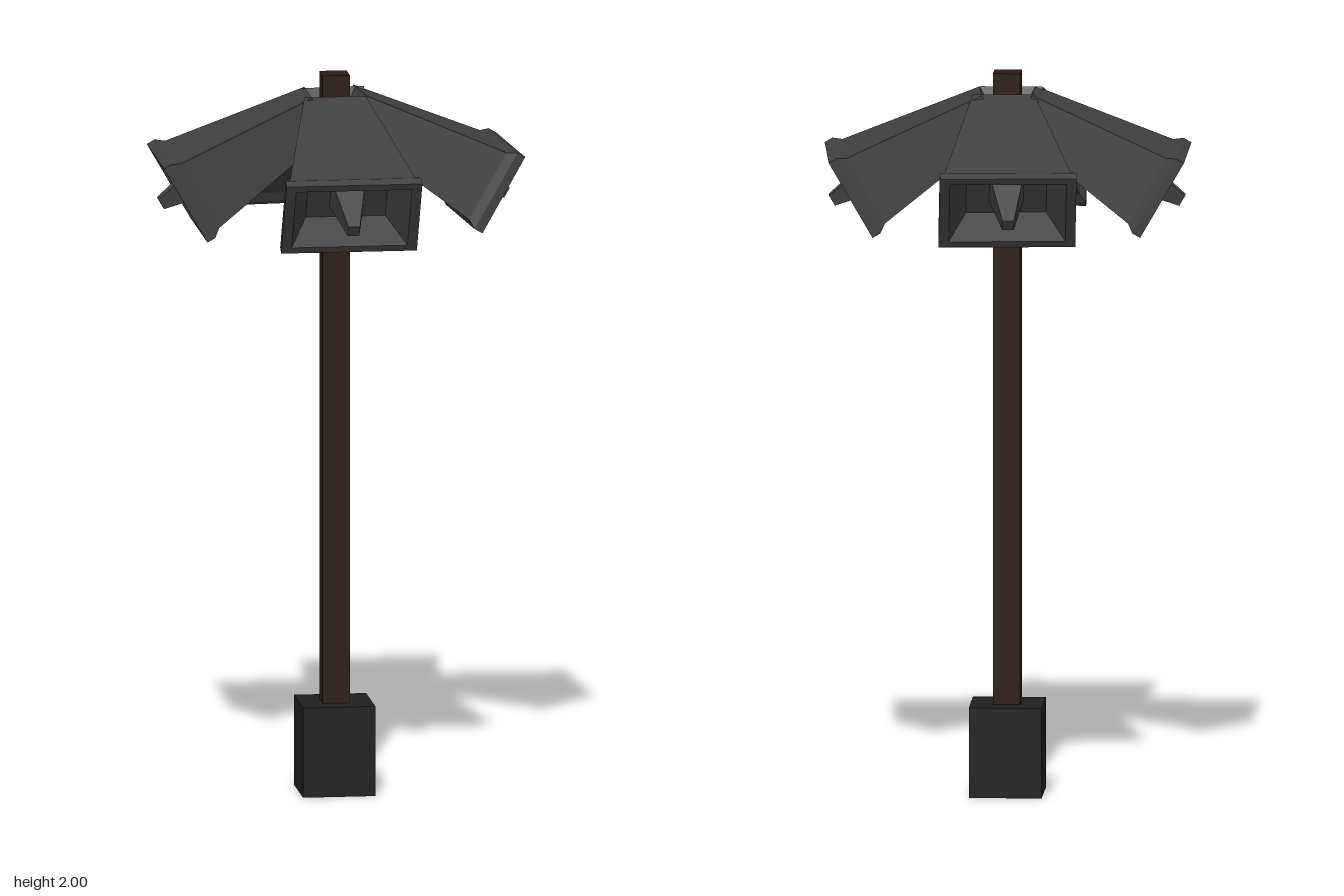
import * as THREE from 'three';

const rad = THREE.MathUtils.degToRad;
const material = (color) => new THREE.MeshStandardMaterial({ color, flatShading: true });

// Skin over rectangular sections [z, halfWidth, halfHeight], capped at both ends.
function rectLoft(sections) {
  const rings = sections.map(([z, w, h]) => [[-w, -h, z], [w, -h, z], [w, h, z], [-w, h, z]]);
  const positions = [];
  const quad = (a, b, c, d) => positions.push(...a, ...b, ...c, ...a, ...c, ...d);
  for (let i = 0; i < rings.length - 1; i++) {
    for (let k = 0; k < 4; k++) {
      const n = (k + 1) % 4;
      quad(rings[i][k], rings[i][n], rings[i + 1][n], rings[i + 1][k]);
    }
  }
  const first = rings[0], last = rings[rings.length - 1];
  quad(first[3], first[2], first[1], first[0]);
  quad(last[0], last[1], last[2], last[3]);
  const geometry = new THREE.BufferGeometry();
  geometry.setAttribute('position', new THREE.Float32BufferAttribute(positions, 3));
  geometry.computeVertexNormals();
  return geometry;
}

export function createModel() {
  const model = new THREE.Group();
  model.name = 'loudspeakerPost';
  const hornMaterial = material(0x404040);

  function addMesh(parent, name, geometry, mat) {
    const mesh = new THREE.Mesh(geometry, mat);
    mesh.name = name;
    parent.add(mesh);
    return mesh;
  }

  // Base block and square post
  addMesh(model, 'base', new THREE.BoxGeometry(0.2, 0.25, 0.2), material(0x202020))
    .position.set(-0.01, 0.125, 0.01);
  addMesh(model, 'post', new THREE.BoxGeometry(0.075, 1.8, 0.075), material(0x2e1c14))
    .position.set(-0.01, 1.1, 0.01);

  // Horn shell: flared body, raised lip, then back inside to the recessed plate
  const shell = rectLoft([
    [-0.45, 0.085, 0.055],
    [-0.048, 0.172, 0.105],
    [-0.025, 0.1875, 0.12],
    [0, 0.1875, 0.12],
    [0, 0.16, 0.1],
    [-0.11, 0.11, 0.085],
  ]);
  // Tapered plug standing on the recessed plate
  const plug = rectLoft([[-0.11, 0.047, 0.047], [0.053, 0.016, 0.016]]);

  // Four horns around the post, tilted down; two are turned slightly off square
  const horns = [
    ['frontHorn', -0.018, 0.01, 0],
    ['leftHorn', -0.01, 0.002, 95],
    ['backHorn', 0.003, 0.01, 185],
    ['rightHorn', -0.01, 0.01, 270],
  ];
  for (const [name, x, z, yaw] of horns) {
    const arm = new THREE.Group();
    arm.name = name;
    arm.position.set(x, 0, z);
    arm.rotation.y = rad(yaw);
    const head = new THREE.Group();
    head.name = name + 'Head';
    head.position.set(0, 1.675, 0.435);
    head.rotation.x = rad(30);
    addMesh(head, 'hornShell', shell, hornMaterial);
    addMesh(head, 'hornPlug', plug, hornMaterial);
    arm.add(head);
    model.add(arm);
  }
  return model;
}
